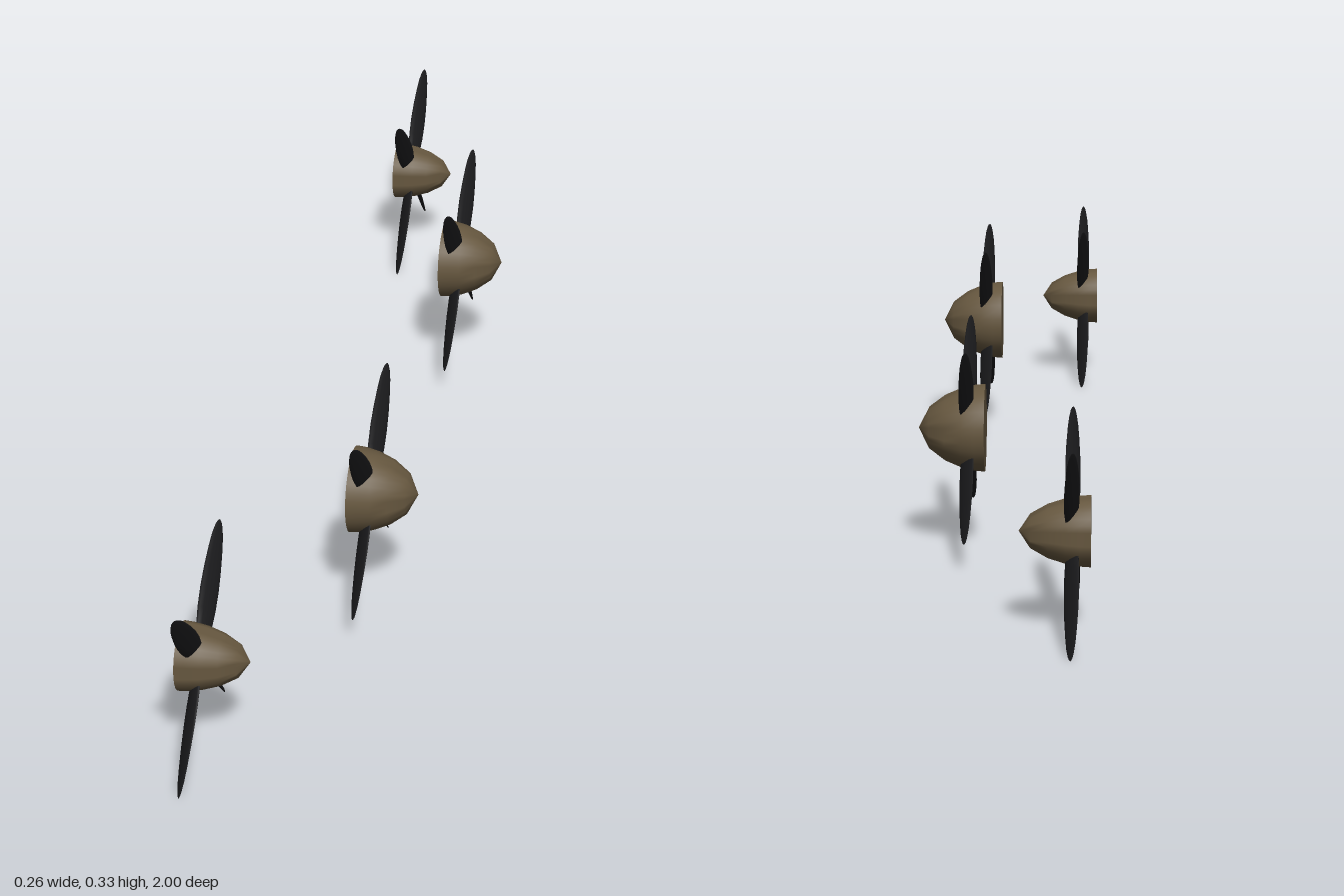
import * as THREE from 'three';
import { toCreasedNormals } from 'three/addons/utils/BufferGeometryUtils.js';

const spinnerMaterial = new THREE.MeshStandardMaterial({ color: 0x66573f });
const bladeMaterial = new THREE.MeshStandardMaterial({ color: 0x1a1a1c });

// Pointed dome with a flat back, its axis along +x
function spinnerGeometry(radius, length) {
  const profile = [[0, 0], [1, 0], [0.98, 0.15], [0.91, 0.35], [0.75, 0.6], [0.48, 0.84], [0, 1]]
    .map(([r, t]) => new THREE.Vector2(r * radius, t * length));
  const geometry = new THREE.LatheGeometry(profile, 32);
  geometry.rotateZ(-Math.PI / 2);
  return toCreasedNormals(geometry, 0.7);
}

// Pitched blade lofted along +y from lens-shaped sections: [radius, chord, thickness]
function bladeGeometry(pitch) {
  const sections = [
    [0.02, 0.024, 0.009], [0.045, 0.031, 0.008], [0.07, 0.036, 0.007], [0.1, 0.037, 0.006],
    [0.13, 0.034, 0.005], [0.16, 0.028, 0.004], [0.18, 0.022, 0.003], [0.194, 0.014, 0.002],
    [0.2, 0.008, 0.0015], [0.203, 0.001, 0.0005],
  ];
  const sides = 12;
  const s = Math.sin(pitch), c = Math.cos(pitch);
  const positions = [], indices = [];
  sections.forEach(([y, chord, thickness], j) => {
    for (let i = 0; i < sides; i++) {
      const a = (i / sides) * Math.PI * 2;
      const u = Math.cos(a) * chord / 2;
      const v = Math.sin(a) * thickness / 2;
      positions.push(u * s + v * c, y, -u * c + v * s);
      if (j === 0) continue;
      const next = (i + 1) % sides;
      const p = (j - 1) * sides + i, q = (j - 1) * sides + next;
      indices.push(p, p + sides, q, q, p + sides, q + sides);
    }
  });
  const geometry = new THREE.BufferGeometry();
  geometry.setAttribute('position', new THREE.Float32BufferAttribute(positions, 3));
  geometry.setIndex(indices);
  geometry.computeVertexNormals();
  return geometry;
}

// Four-bladed propeller with the back of its spinner at the origin
function createPropeller(name, radius, blade) {
  const propeller = new THREE.Group();
  propeller.name = name;
  const spinner = new THREE.Mesh(spinnerGeometry(radius, 0.1), spinnerMaterial);
  spinner.name = 'spinner';
  propeller.add(spinner);
  for (let i = 0; i < 4; i++) {
    const mesh = new THREE.Mesh(blade, bladeMaterial);
    mesh.name = `blade${i + 1}`;
    mesh.position.x = 0.026;
    mesh.rotation.x = Math.PI / 4 + i * Math.PI / 2;
    propeller.add(mesh);
  }
  return propeller;
}

export function createModel() {
  const model = new THREE.Group();
  model.name = 'propellers';
  const blade = bladeGeometry(THREE.MathUtils.degToRad(35));

  // Mirrored inner and outer pairs, the outer ones set back and lower
  for (const side of [1, -1]) {
    const end = side > 0 ? 'Front' : 'Back';
    const inner = createPropeller(`inner${end}Propeller`, 0.066, blade);
    inner.position.set(0.031, 0.187, side * 0.413);
    const outer = createPropeller(`outer${end}Propeller`, 0.05, blade);
    outer.position.set(-0.131, 0.145, side * 0.857);
    model.add(inner, outer);
  }
  return model;
}
